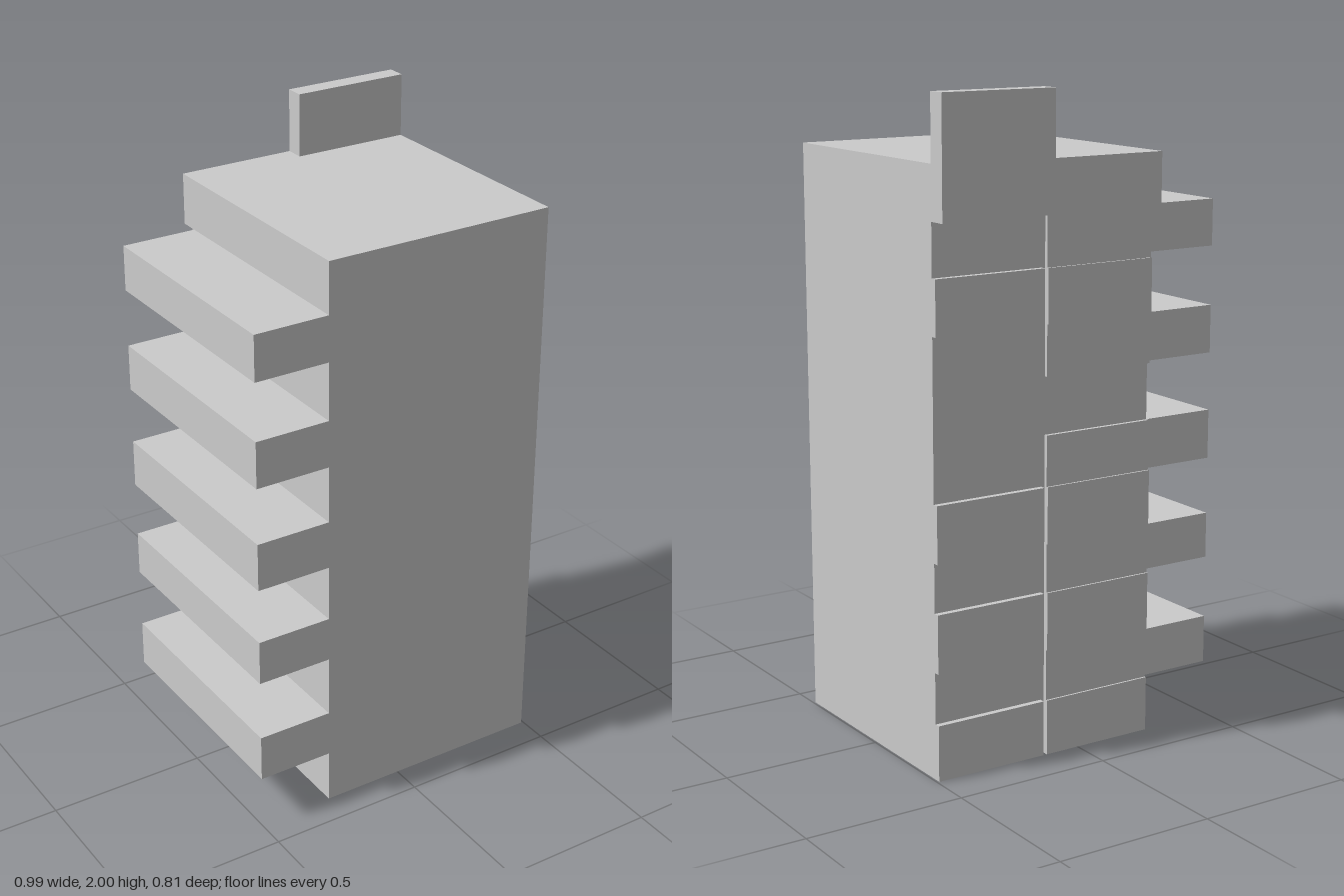
import * as THREE from 'three';

const material = new THREE.MeshStandardMaterial({ color: 0xcccccc, flatShading: true });

// Box given by its lower and upper limits on each axis
function box(parent, name, [x0, x1], [y0, y1], [z0, z1]) {
  const mesh = new THREE.Mesh(new THREE.BoxGeometry(x1 - x0, y1 - y0, z1 - z0), material);
  mesh.position.set((x0 + x1) / 2, (y0 + y1) / 2, (z0 + z1) / 2);
  mesh.name = name;
  parent.add(mesh);
}

export function createModel() {
  const model = new THREE.Group();
  model.name = 'apartmentTower';
  const left = 0.493, right = -0.258, wall = -0.349, front = 0.404;

  // Tower body, overhanging roof edge and rooftop parapet
  box(model, 'towerBody', [right, left], [0, 1.803], [wall, front]);
  box(model, 'roofOverhang', [right, left], [1.643, 1.803], [-0.408, wall]);
  box(model, 'roofParapet', [0.118, left], [1.803, 2], [-0.408, wall]);

  // Side balconies, one per storey
  const balconies = [[0.172, 0.322], [0.517, 0.66], [0.837, 0.99], [1.17, 1.318], [1.5, 1.643]];
  for (const span of balconies) box(model, 'balcony', [-0.498, right], span, [wall, front]);

  // Raised back panels in two columns, with one storey left bare
  const panels = [[0, 0.172], [0.33, 0.51], [0.66, 0.835], [1.32, 1.485]];
  for (const span of panels) {
    box(model, 'backPanelLeft', [0.125, left], span, [-0.367, wall]);
    box(model, 'backPanelRight', [right, 0.113], span, [-0.367, wall]);
  }

  // Shallower infill between the panels of the right column
  const infills = [[0.172, 0.33], [0.51, 0.66], [0.835, 0.99], [1.165, 1.32], [1.485, 1.643]];
  for (const span of infills) box(model, 'backInfill', [right, 0.113], span, [-0.361, wall]);

  return model;
}
